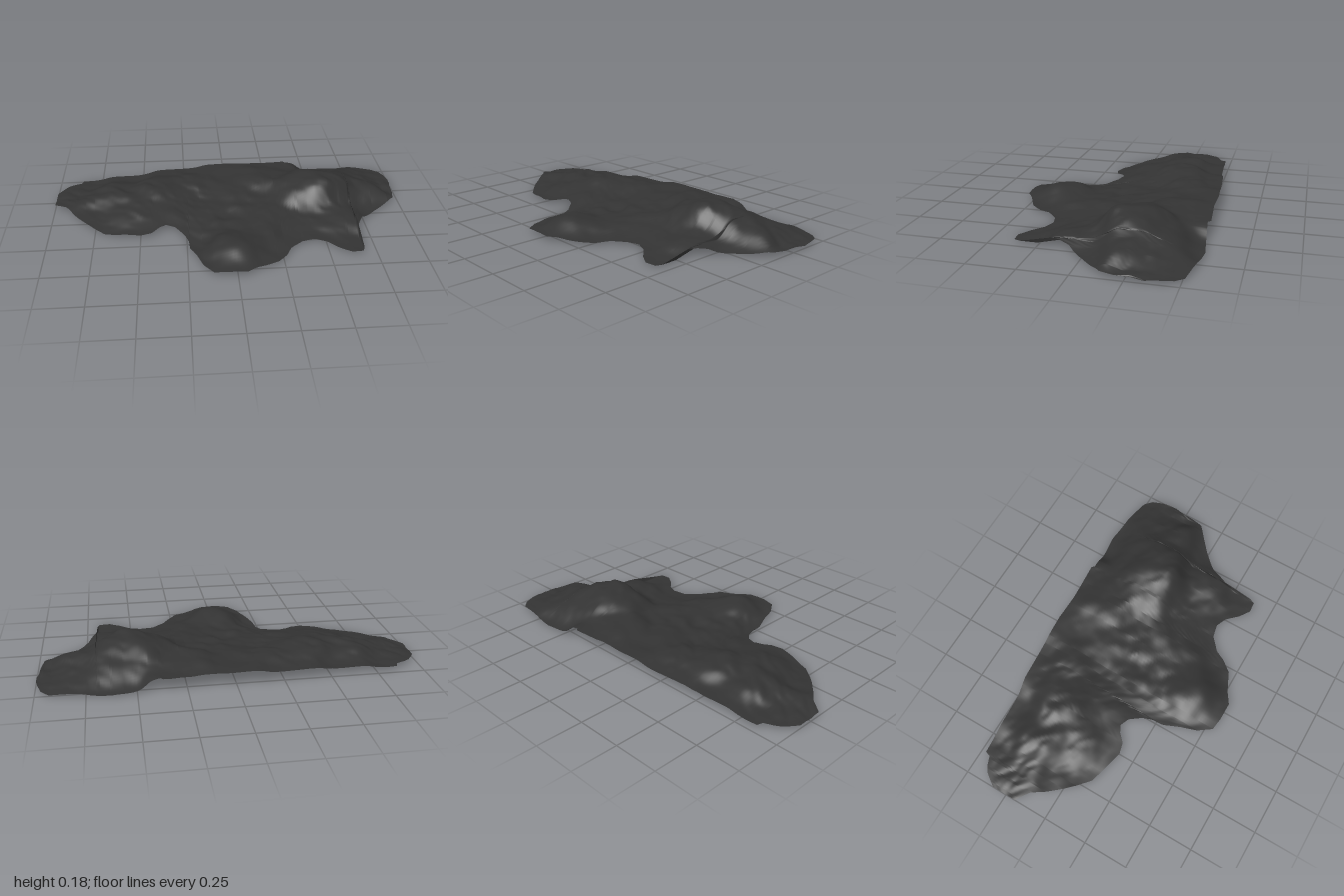
import * as THREE from 'three';

// Shoreline as [x, z], west to east
const backEdge = [
  [-1, -0.33], [-0.98, -0.36], [-0.95, -0.4], [-0.92, -0.42], [-0.87, -0.44], [-0.86, -0.47], [-0.7, -0.48],
  [-0.5, -0.49], [-0.4, -0.51], [-0.25, -0.52], [0, -0.535], [0.15, -0.53], [0.37, -0.545], [0.385, -0.53],
  [0.5, -0.54], [0.63, -0.555], [0.8, -0.535], [0.93, -0.51], [0.97, -0.47], [0.99, -0.41], [1, -0.36],
];
const frontEdge = [
  [-1, -0.19], [-0.93, -0.14], [-0.88, -0.07], [-0.82, 0], [-0.77, 0.05], [-0.7, 0.11], [-0.6, 0.14], [-0.5, 0.165],
  [-0.44, 0.15], [-0.4, 0.11], [-0.36, 0.09], [-0.31, 0.11], [-0.26, 0.17], [-0.24, 0.22], [-0.235, 0.29],
  [-0.2, 0.38], [-0.17, 0.47], [-0.12, 0.54], [-0.05, 0.55], [0.05, 0.55], [0.11, 0.51], [0.22, 0.46], [0.27, 0.4],
  [0.3, 0.34], [0.37, 0.28], [0.44, 0.265], [0.5, 0.29], [0.56, 0.35], [0.62, 0.39], [0.68, 0.385], [0.693, 0.35],
  [0.696, 0.18], [0.74, 0.08], [0.83, -0.01], [0.9, -0.07], [0.97, -0.13], [0.985, -0.2], [0.99, -0.28], [1, -0.32],
];

// Spot heights as [x, z, y]
const spots = [
  [-1, -0.27, 0.02], [-0.85, -0.45, 0.03], [-0.88, -0.25, 0.055], [-0.6, -0.48, 0.05], [-0.65, -0.25, 0.085],
  [-0.78, 0, 0.025], [-0.7, 0.1, 0.005], [-0.58, -0.05, 0.075], [-0.5, 0.16, 0.025],
  [-0.4, -0.25, 0.11], [-0.36, 0.08, 0.04], [-0.35, -0.05, 0.07], [-0.3, -0.5, 0.07],
  [-0.24, -0.3, 0.095], [-0.15, -0.15, 0.055], [-0.24, 0.2, 0.01], [-0.1, 0.1, 0.045], [0, -0.53, 0.085], [0, -0.3, 0.08],
  [0, 0.36, 0.095], [-0.18, 0.45, 0.02], [0, 0.55, 0.03], [0.2, 0.45, 0.02], [0.1, 0.2, 0.055],
  [0.2, -0.08, 0.07], [0.22, -0.35, 0.11], [0.3, -0.53, 0.08], [0.4, 0.27, 0.02], [0.4, 0.08, 0.05],
  [0.38, -0.15, 0.13], [0.5, -0.15, 0.195], [0.6, -0.22, 0.17], [0.62, -0.36, 0.1], [0.62, -0.55, 0.015],
  [0.62, 0.05, 0.06], [0.64, 0.38, 0.015], [0.76, -0.2, 0.1], [0.82, 0, 0.015], [0.85, -0.4, 0.055],
  [0.93, -0.5, 0.015], [0.99, -0.3, 0.025],
];

// Linear lookup along an edge
function edgeAt(edge, x) {
  let i = 1;
  while (i < edge.length - 1 && edge[i][0] < x) i++;
  const [a, b] = [edge[i - 1], edge[i]];
  return THREE.MathUtils.lerp(a[1], b[1], (x - a[0]) / (b[0] - a[0]));
}

// Smooth repeatable value noise, -1 to 1
function hash(i, j) {
  const s = Math.sin(i * 127.1 + j * 311.7) * 43758.5453;
  return (s - Math.floor(s)) * 2 - 1;
}
function noise(x, z) {
  const i = Math.floor(x), j = Math.floor(z);
  const u = THREE.MathUtils.smoothstep(x - i, 0, 1), v = THREE.MathUtils.smoothstep(z - j, 0, 1);
  const { lerp } = THREE.MathUtils;
  return lerp(lerp(hash(i, j), hash(i + 1, j), u), lerp(hash(i, j + 1), hash(i + 1, j + 1), u), v);
}

// Blend of nearby spot heights plus small slanting ridges
function heightAt(x, z, t) {
  let sum = 0, total = 0;
  for (const [sx, sz, y] of spots) {
    const w = Math.exp(-((x - sx) ** 2 + (z - sz) ** 2) / 0.011) + 1e-7;
    sum += w * y;
    total += w;
  }
  const a = (x + z) * 7, b = (x - z) * 12;
  const inland = 0.25 + 0.75 * Math.sin(Math.PI * t);
  return sum / total + inland * (0.009 * noise(a, b) + 0.004 * noise(a * 2.1 + 5, b * 2.1));
}

export function createModel() {
  const group = new THREE.Group();

  // Columns at regular steps and at every shoreline corner
  const xs = [...backEdge, ...frontEdge].map((p) => p[0]);
  for (let i = 0; i <= 120; i++) xs.push(-1 + i / 60);
  const columns = [...new Set(xs.map((x) => Math.round(x * 1000) / 1000))].sort((a, b) => a - b);
  const rows = 70;

  const geometry = new THREE.PlaneGeometry(1, 1, columns.length - 1, rows);
  const position = geometry.attributes.position;
  for (let k = 0; k < position.count; k++) {
    const x = columns[k % columns.length];
    const t = Math.floor(k / columns.length) / rows;
    const z = THREE.MathUtils.lerp(edgeAt(backEdge, x), edgeAt(frontEdge, x), t);
    position.setXYZ(k, x, heightAt(x, z, t), z);
  }

  // Lowest point rests on the ground
  geometry.computeBoundingBox();
  geometry.translate(0, -geometry.boundingBox.min.y, 0);
  geometry.computeVertexNormals();

  const material = new THREE.MeshStandardMaterial({ color: 0x333333, side: THREE.DoubleSide });
  const terrain = new THREE.Mesh(geometry, material);
  terrain.name = 'terrain';
  group.add(terrain);
  return group;
}
